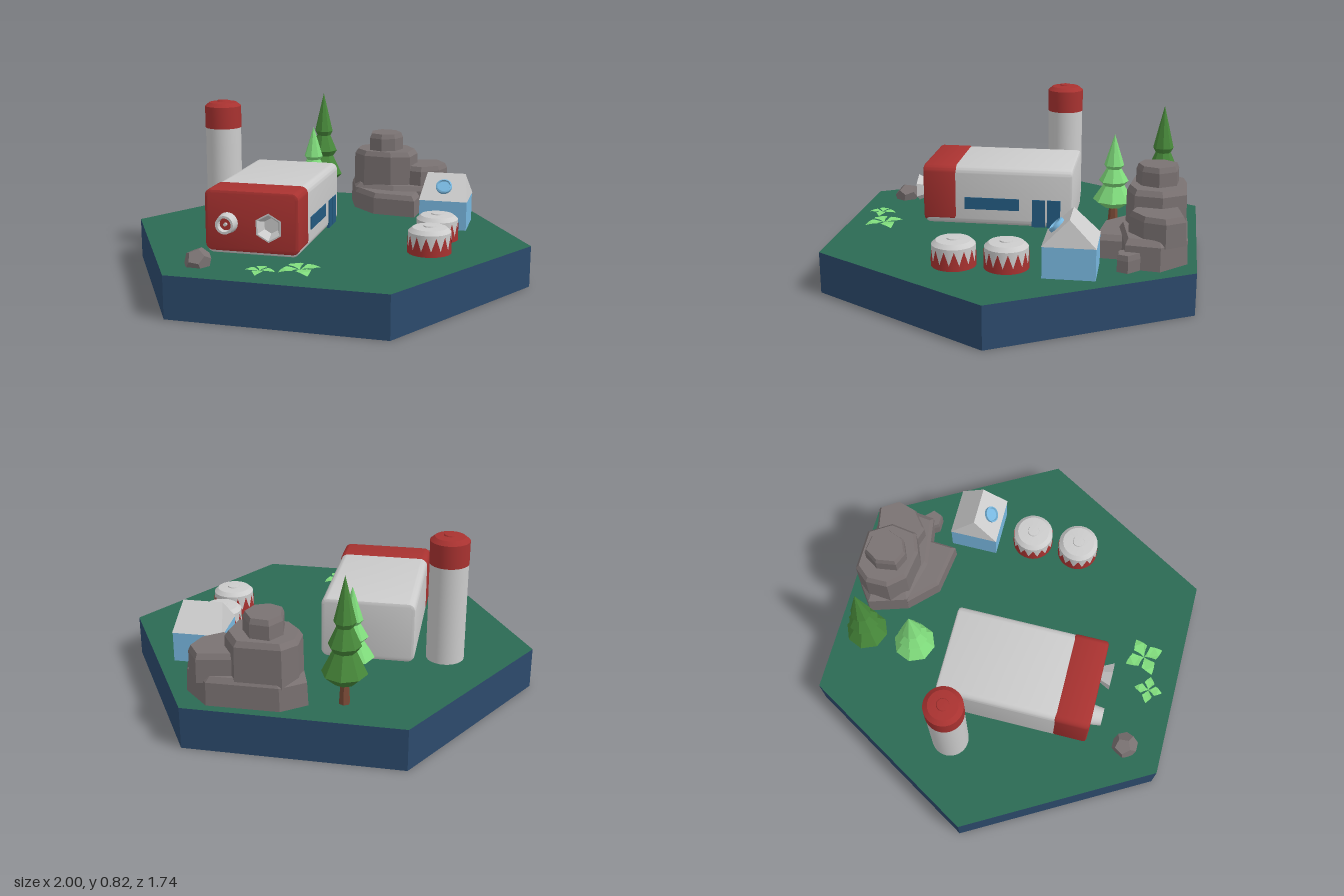
import * as THREE from 'three';
import { toCreasedNormals } from 'three/addons/utils/BufferGeometryUtils.js';
import { ConvexGeometry } from 'three/addons/geometries/ConvexGeometry.js';

const mat = (color, opts = {}) => new THREE.MeshStandardMaterial({ color, ...opts });
const GREY = mat(0xcccccc);
const GREY_OPEN = mat(0xcccccc, { side: THREE.DoubleSide });
const RED = mat(0xa83230);
const RED_OPEN = mat(0xa83230, { side: THREE.DoubleSide });
const NAVY = mat(0x2c4a6c);
const GRASS = mat(0x2b6a54);
const SKY = mat(0x78b8e0);
const GLASS = mat(0x235a80);
const STONE = mat(0x7a7272, { flatShading: true });
const BARK = mat(0x7a4a36, { flatShading: true });
const PINE = mat(0x47883a, { flatShading: true });
const LIME = mat(0x80dc7c, { flatShading: true });
const LEAF = mat(0x80dc7c, { flatShading: true, side: THREE.DoubleSide });
const GROUND = 0.2;

function add(parent, name, geometry, material, x = 0, y = 0, z = 0) {
  const mesh = new THREE.Mesh(geometry, material);
  mesh.name = name;
  mesh.position.set(x, y, z);
  parent.add(mesh);
  return mesh;
}

function group(parent, name, x = 0, y = 0, z = 0) {
  const g = new THREE.Group();
  g.name = name;
  g.position.set(x, y, z);
  parent.add(g);
  return g;
}

const lathe = (pts, segments) =>
  new THREE.LatheGeometry(pts.map(([r, y]) => new THREE.Vector2(r, y)), segments);
const smoothLathe = (pts, segments = 32) => toCreasedNormals(lathe(pts, segments), 0.4);

// Block with rounded long edges and bevelled ends, spanning z0 to z1
function roundedBlock(x0, x1, y0, y1, z0, z1, r, bevel) {
  const [a, b, c, d] = [x0 + bevel, x1 - bevel, y0 + bevel, y1 - bevel];
  const s = new THREE.Shape();
  s.moveTo(a + r, c);
  s.lineTo(b - r, c);
  s.absarc(b - r, c + r, r, -Math.PI / 2, 0);
  s.absarc(b - r, d - r, r, 0, Math.PI / 2);
  s.absarc(a + r, d - r, r, Math.PI / 2, Math.PI);
  s.absarc(a + r, c + r, r, Math.PI, Math.PI * 1.5);
  const geo = new THREE.ExtrudeGeometry(s, {
    depth: z1 - z0 - 2 * bevel, bevelSize: bevel, bevelThickness: bevel, bevelSegments: 2, curveSegments: 4,
  });
  geo.translate(0, 0, z0 + bevel);
  return toCreasedNormals(geo, 0.6);
}

// Stone slab from an x/z outline, with its upper rim chamfered
function slab(parent, name, outline, y0, y1) {
  const cx = outline.reduce((s, p) => s + p[0], 0) / outline.length;
  const cz = outline.reduce((s, p) => s + p[1], 0) / outline.length;
  const pts = [];
  for (const [y, k] of [[y0, 1], [y1 - 0.025, 0.98], [y1, 0.88]]) {
    for (const [x, z] of outline) pts.push(new THREE.Vector3(cx + (x - cx) * k, y, cz + (z - cz) * k));
  }
  add(parent, name, new ConvexGeometry(pts), STONE);
}

function tree(parent, name, x, z, height, material) {
  const g = group(parent, name, x, GROUND, z);
  const tiers = [[0, 0.17], [0.05, 0.17], [0.103, 0.25], [0.053, 0.42], [0.074, 0.47],
    [0.037, 0.61], [0.05, 0.65], [0, 1]];
  add(g, 'foliage', lathe(tiers.map(([r, t]) => [r, t * height]), 8), material);
  add(g, 'trunk', new THREE.CylinderGeometry(0.018, 0.026, height * 0.22, 6), BARK, 0, height * 0.11, 0);
}

function tank(parent, x, z) {
  const g = group(parent, 'tank', x, GROUND, z);
  add(g, 'tankBody', smoothLathe([[0, 0], [0.1, 0], [0.1, 0.1], [0.08, 0.118], [0.03, 0.122],
    [0.028, 0.127], [0, 0.127]]), GREY);
  // Red band whose top rim zigzags
  const teeth = 14;
  const band = new THREE.CylinderGeometry(0.103, 0.103, 0.09, teeth * 2, 1, true);
  band.translate(0, 0.045, 0);
  const p = band.attributes.position;
  for (let i = 0; i <= teeth * 2; i++) if (i % 2) p.setY(i, 0.025);
  add(g, 'zigzagBand', band, RED_OPEN);
}

function plant(parent, x, z, size, turn) {
  const g = group(parent, 'plant', x, GROUND + 0.012, z);
  const s = new THREE.Shape();
  s.moveTo(0, 0);
  s.quadraticCurveTo(0.12, 0.25, 0.36, 0.48);
  s.quadraticCurveTo(0.2, 0.8, 0, 1);
  s.quadraticCurveTo(-0.2, 0.8, -0.36, 0.48);
  s.quadraticCurveTo(-0.12, 0.25, 0, 0);
  const geo = new THREE.ShapeGeometry(s, 3);
  const p = geo.attributes.position;
  for (let i = 0; i < p.count; i++) p.setZ(i, 0.5 * p.getY(i) * (1 - p.getY(i)));
  geo.rotateX(-Math.PI / 2);
  geo.scale(size, size, size);
  for (let i = 0; i < 4; i++) add(g, 'leaf', geo, LEAF).rotation.y = turn + i * Math.PI / 2;
}

export function createModel() {
  const model = new THREE.Group();
  model.name = 'islandOutpost';

  // Hexagonal base with grass top
  const base = add(model, 'base', new THREE.CylinderGeometry(1, 1, GROUND, 6).toNonIndexed(),
    [NAVY, GRASS, NAVY], 0, GROUND / 2, 0);
  base.geometry = toCreasedNormals(base.geometry, 0.3);
  base.rotation.y = Math.PI / 2 - 0.01;

  // Main hall with a red front section
  const hall = group(model, 'hall');
  add(hall, 'hallBody', roundedBlock(-0.45, -0.005, 0.2, 0.5, -0.26, 0.48, 0.02, 0.015), GREY);
  add(hall, 'hallFront', roundedBlock(-0.453, -0.002, 0.212, 0.503, 0.318, 0.49, 0.02, 0.015), RED);
  add(hall, 'sideWindow', new THREE.BoxGeometry(0.012, 0.06, 0.275), GLASS, -0.006, 0.315, 0.142);
  for (const z of [-0.092, -0.167]) {
    add(hall, 'doorPanel', new THREE.BoxGeometry(0.012, 0.14, 0.066), GLASS, -0.006, 0.275, z);
  }

  // Round nozzle and flared six-sided horn on the front wall
  const nozzle = group(hall, 'roundNozzle', -0.34, 0.35, 0.485);
  nozzle.rotation.x = Math.PI / 2;
  add(nozzle, 'nozzleRing', smoothLathe([[0.05, 0], [0.043, 0.055], [0.032, 0.055], [0.028, 0.02]], 24), GREY_OPEN);
  add(nozzle, 'nozzleCore', new THREE.CylinderGeometry(0.03, 0.03, 0.02, 24), RED, 0, 0.02, 0);
  add(nozzle, 'nozzlePin', new THREE.CylinderGeometry(0.008, 0.008, 0.03, 12), GREY, 0, 0.03, 0);
  const horn = group(hall, 'hexHorn', -0.13, 0.35, 0.485);
  horn.rotation.x = Math.PI / 2;
  add(horn, 'hornShell', toCreasedNormals(lathe([[0.04, 0], [0.068, 0.055], [0.06, 0.055], [0.036, 0.01], [0, 0.01]], 6), 0.3),
    GREY_OPEN);

  // Chimney with red cap
  const chimney = group(model, 'chimney', -0.587, 0, -0.16);
  add(chimney, 'chimneyShaft', new THREE.CylinderGeometry(0.09, 0.09, 0.5, 32), GREY, 0, 0.45, 0);
  add(chimney, 'chimneyCap', smoothLathe([[0, 0.68], [0.092, 0.68], [0.092, 0.79], [0.07, 0.808],
    [0.03, 0.813], [0.027, 0.818], [0, 0.818]]), RED);

  // Storage tanks
  for (const z of [-0.02, 0.22]) tank(model, 0.548, z);

  // Small hut: box walls, hipped roof and round skylight
  const hut = group(model, 'hut', 0.55, 0, -0.31);
  add(hut, 'hutWalls', new THREE.BoxGeometry(0.236, 0.145, 0.236), SKY, 0, 0.2725, 0);
  const roofPts = [];
  for (const sx of [-1, 1]) {
    for (const sz of [-1, 1]) roofPts.push(new THREE.Vector3(sx * 0.12, 0.345, sz * 0.12));
    roofPts.push(new THREE.Vector3(sx * 0.096, 0.465, 0));
  }
  add(hut, 'hutRoof', new ConvexGeometry(roofPts), GREY);
  const skylight = group(hut, 'skylight', -0.003, 0.403, 0.062);
  skylight.rotation.x = Math.PI / 4;
  add(skylight, 'skylightRim', smoothLathe([[0.04, -0.02], [0.04, 0.014], [0.033, 0.018], [0.03, 0.01], [0, 0.01]], 20), SKY);

  // Trees
  tree(model, 'tallTree', -0.19, -0.69, 0.6, PINE);
  tree(model, 'shortTree', -0.185, -0.45, 0.45, LIME);

  // Stacked rock formation
  const rocks = group(model, 'rockFormation');
  slab(rocks, 'rockBase', [[-0.04, -0.74], [0.07, -0.82], [0.4, -0.82], [0.52, -0.7], [0.5, -0.54],
    [0.24, -0.5], [0.02, -0.55]], 0.2, 0.335);
  slab(rocks, 'rockLedge', [[0.02, -0.55], [0.15, -0.42], [0.375, -0.39], [0.385, -0.55], [0.3, -0.7], [0.04, -0.7]], 0.2, 0.31);
  slab(rocks, 'rockMiddle', [[0, -0.74], [0.06, -0.81], [0.27, -0.81], [0.34, -0.7], [0.32, -0.57],
    [0.22, -0.53], [0.07, -0.55], [0, -0.63]], 0.3, 0.51);
  slab(rocks, 'rockPeak', [[0.075, -0.7], [0.12, -0.77], [0.21, -0.76], [0.26, -0.68], [0.23, -0.6],
    [0.16, -0.57], [0.09, -0.6]], 0.48, 0.6);
  slab(rocks, 'rockShoulder', [[0.28, -0.78], [0.44, -0.81], [0.5, -0.72], [0.47, -0.62], [0.38, -0.55], [0.28, -0.58]], 0.3, 0.435);
  slab(rocks, 'rockFoot', [[0.45, -0.56], [0.5, -0.62], [0.56, -0.56], [0.54, -0.51], [0.48, -0.51]], 0.2, 0.28);

  // Boulder and plants near the front
  const boulder = add(model, 'boulder', new THREE.DodecahedronGeometry(0.064), STONE, -0.415, 0.22, 0.68);
  boulder.rotation.set(0.3, 0.5, 0.2);
  boulder.scale.set(1, 0.9, 1.05);
  plant(model, -0.11, 0.735, 0.07, 0);
  plant(model, 0.055, 0.68, 0.1, 0.6);

  return model;
}
